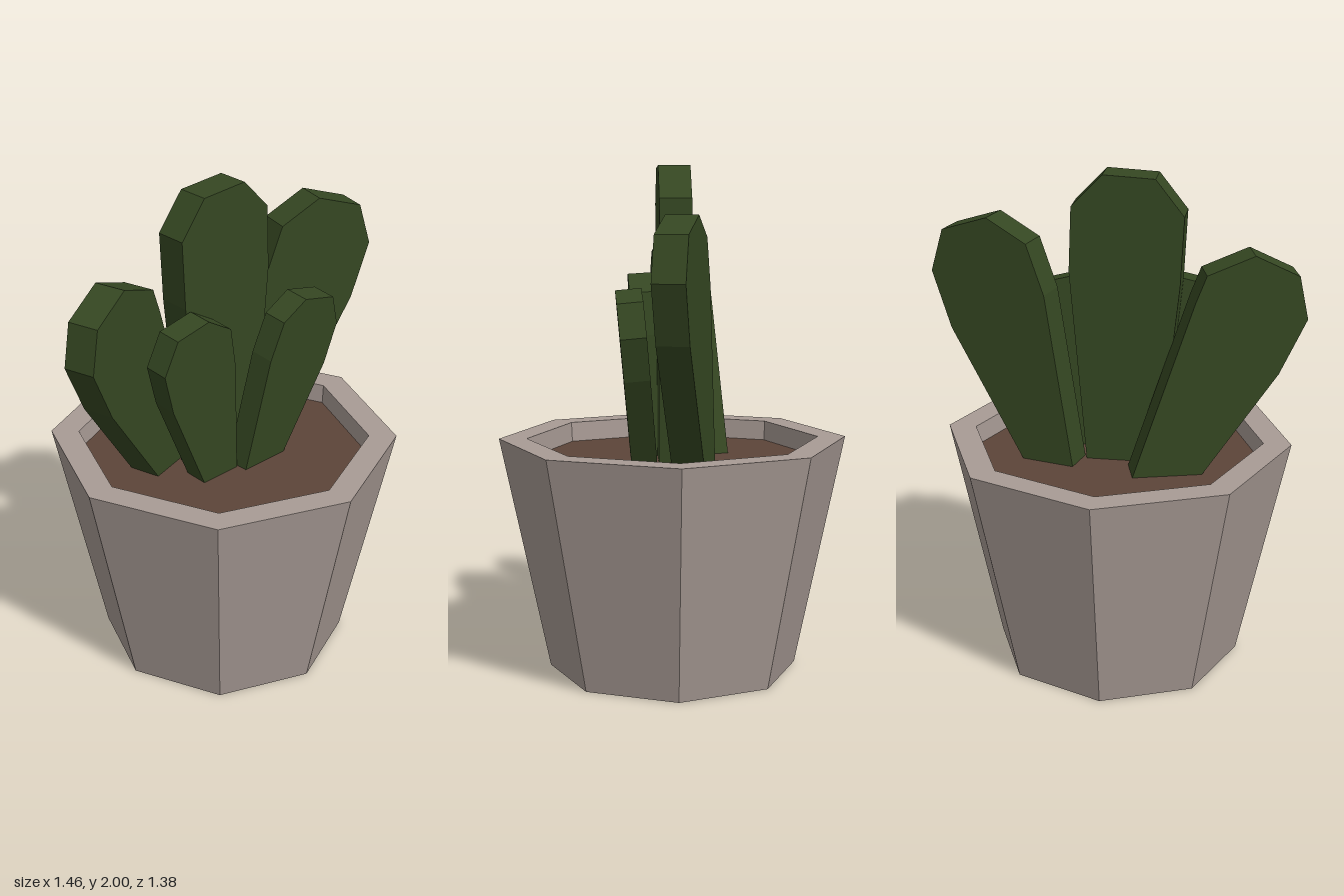
import * as THREE from 'three';

const mat = (name, color) => {
  const m = new THREE.MeshStandardMaterial({ color, flatShading: true });
  m.name = name;
  return m;
};

const SOIL_Y = 0.85;

// Flat pad: outline in x/y, thickened along the normal of the plane
// z = z0 + turn * x + lean * (y - SOIL_Y)
function makePad(name, material, { outline, thick, z0, turn = 0, lean = 0 }) {
  const shape = new THREE.Shape(outline.map(([x, y]) => new THREE.Vector2(x, y)));
  const geo = new THREE.ExtrudeGeometry(shape, { depth: 1, bevelEnabled: false });
  const normal = new THREE.Vector3(-turn, -lean, 1).normalize();
  const pos = geo.attributes.position;
  const v = new THREE.Vector3();
  for (let i = 0; i < pos.count; i++) {
    v.fromBufferAttribute(pos, i);
    const offset = (v.z - 0.5) * thick;
    v.z = z0 + turn * v.x + lean * (v.y - SOIL_Y);
    v.addScaledVector(normal, offset);
    pos.setXYZ(i, v.x, v.y, v.z);
  }
  geo.computeVertexNormals();
  const mesh = new THREE.Mesh(geo, material);
  mesh.name = name;
  return mesh;
}

export function createModel() {
  const group = new THREE.Group();
  group.name = 'pottedCactus';
  const clay = mat('potClay', 0xa89b95);
  const earth = mat('soil', 0x5c4539);
  const green = mat('cactusGreen', 0x354722);

  // Eight-sided tapered pot with a thick rim
  const profile = [[0, 0], [0.495, 0], [0.69, 0.93], [0.58, 0.93], [0.575, 0.84]];
  const pot = new THREE.Mesh(
    new THREE.LatheGeometry(profile.map(([r, y]) => new THREE.Vector2(r, y)), 8), clay);
  pot.name = 'pot';
  group.add(pot);

  // Soil sunk below the rim
  const soil = new THREE.Mesh(new THREE.CircleGeometry(0.577, 8).rotateX(-Math.PI / 2), earth);
  soil.name = 'soil';
  soil.position.y = SOIL_Y;
  group.add(soil);

  // Five flat cactus pads
  const pads = {
    centrePad: {
      thick: 0.125, z0: -0.003,
      outline: [[-0.17, 0.84], [0.115, 0.84], [0.18, 1.62], [0.17, 1.875], [0.05, 2],
        [-0.15, 1.99], [-0.26, 1.85], [-0.247, 1.58]],
    },
    rightBackPad: {
      thick: 0.126, z0: -0.187, turn: -0.276,
      outline: [[-0.33, 0.84], [-0.07, 0.84], [-0.3, 1.55], [-0.34, 1.655], [-0.515, 1.725],
        [-0.68, 1.64], [-0.715, 1.47], [-0.615, 1.255]],
    },
    leftBackPad: {
      thick: 0.125, z0: -0.133, turn: 0.255,
      outline: [[0.14, 0.84], [0.345, 0.84], [0.64, 1.36], [0.715, 1.585], [0.665, 1.755],
        [0.48, 1.82], [0.32, 1.735], [0.25, 1.54]],
    },
    rightFrontPad: {
      thick: 0.1, z0: 0.076, lean: 0.065,
      outline: [[-0.215, 0.84], [-0.045, 0.84], [-0.085, 1.33], [-0.12, 1.5], [-0.235, 1.57],
        [-0.385, 1.54], [-0.443, 1.41], [-0.395, 1.24]],
    },
    leftFrontPad: {
      thick: 0.1, z0: 0.118, lean: 0.09,
      outline: [[-0.04, 0.84], [0.165, 0.84], [0.36, 1.2], [0.41, 1.365], [0.37, 1.495],
        [0.215, 1.535], [0.105, 1.47], [0.05, 1.32]],
    },
  };
  for (const [name, spec] of Object.entries(pads)) group.add(makePad(name, green, spec));

  return group;
}
